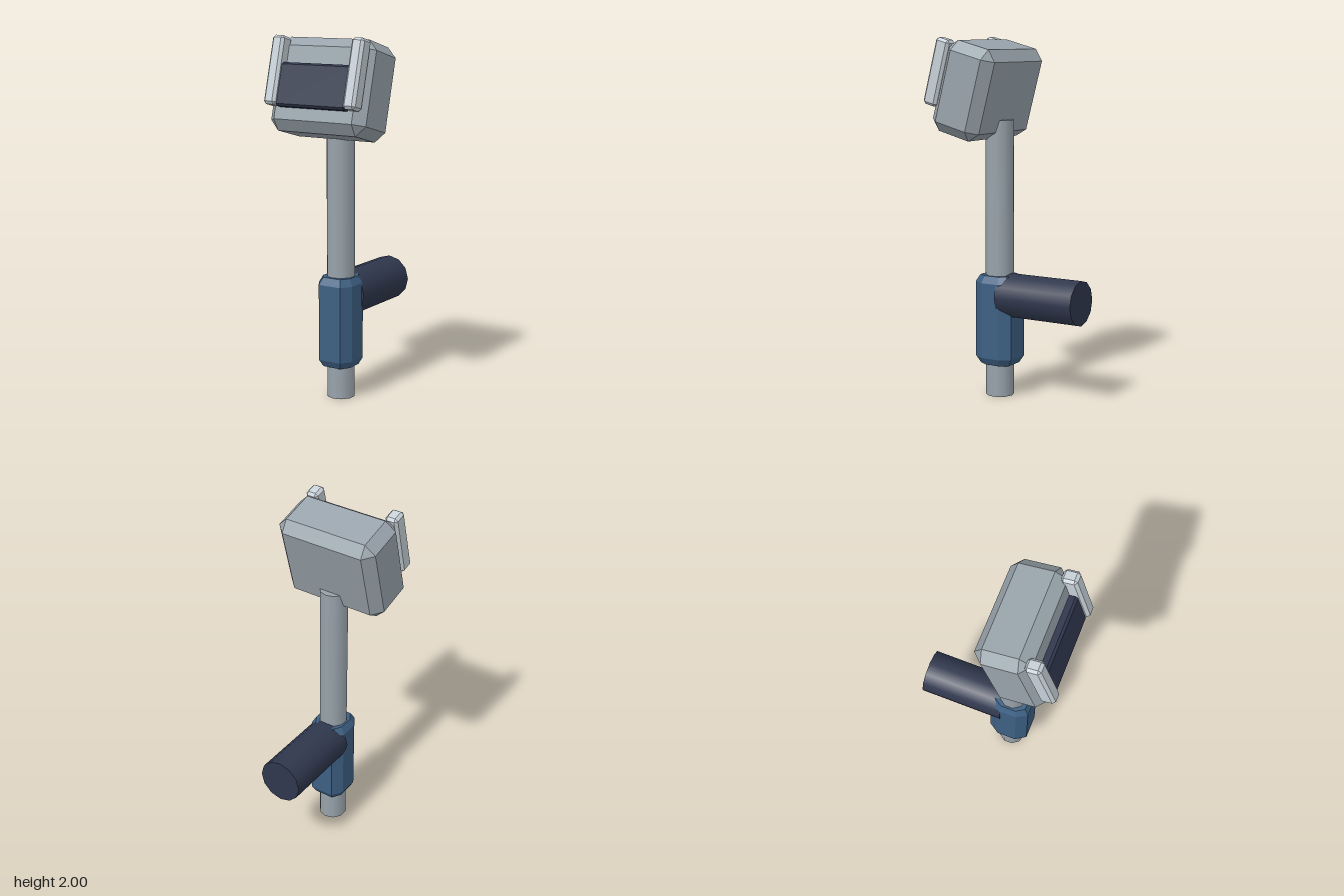
import * as THREE from 'three';
import { ConvexGeometry } from 'three/addons/geometries/ConvexGeometry.js';

const mat = (name, color) => {
  const m = new THREE.MeshStandardMaterial({ color });
  m.name = name;
  return m;
};

// Box with every edge cut by a flat chamfer c
function chamferBox(w, h, d, c) {
  const [x, y, z] = [w / 2, h / 2, d / 2];
  const pts = [];
  for (const sx of [-1, 1]) for (const sy of [-1, 1]) for (const sz of [-1, 1]) {
    pts.push(new THREE.Vector3(sx * x, sy * (y - c), sz * (z - c)));
    pts.push(new THREE.Vector3(sx * (x - c), sy * y, sz * (z - c)));
    pts.push(new THREE.Vector3(sx * (x - c), sy * (y - c), sz * z));
  }
  return new ConvexGeometry(pts);
}

// Eight-sided sleeve with tapered ends
function sleeveGeometry(height, bevel) {
  const pts = [];
  const section = [[0.108, 0.055], [0.069, 0.116]];
  const rings = [[0, 0.8], [bevel, 1], [height - bevel, 1], [height, 0.8]];
  for (const [y, s] of rings)
    for (const [x, z] of section)
      for (const sx of [-1, 1]) for (const sz of [-1, 1])
        pts.push(new THREE.Vector3(sx * x * s, y, sz * z * s));
  return new ConvexGeometry(pts);
}

export function createModel() {
  const grey = mat('grey metal', 0x98a3ab);
  const light = mat('light trim', 0xc6d0d7);
  const blue = mat('blue grip', 0x3d5f82);
  const navy = mat('dark navy', 0x2f374d);

  const model = new THREE.Group();
  model.name = 'model';
  const add = (parent, name, geometry, material, x, y, z) => {
    const mesh = new THREE.Mesh(geometry, material);
    mesh.name = name;
    mesh.position.set(x, y, z);
    parent.add(mesh);
    return mesh;
  };

  // Upright pole and the sleeve around it
  add(model, 'pole', new THREE.CylinderGeometry(0.079, 0.079, 1.55, 10), grey, 0, 0.775, 0.1);
  add(model, 'sleeve', sleeveGeometry(0.505, 0.04), blue, 0, 0.182, 0.1);

  // Handle pointing backwards
  const handle = add(model, 'handle', new THREE.CylinderGeometry(0.125, 0.125, 0.48, 12), navy, 0, 0.575, -0.18);
  handle.rotation.x = Math.PI / 2;

  // Head tilted back, with its front panel and side rails
  const head = new THREE.Group();
  head.name = 'head';
  head.position.set(0, 1.714, 0.175);
  head.rotation.x = -Math.PI / 12;
  model.add(head);
  add(head, 'headBody', chamferBox(0.596, 0.507, 0.308, 0.055), grey, 0, 0, 0);
  add(head, 'frontPanel', chamferBox(0.44, 0.234, 0.072, 0.012), navy, 0, -0.017, 0.163);
  for (const side of [-1, 1])
    add(head, side > 0 ? 'leftRail' : 'rightRail', chamferBox(0.075, 0.37, 0.088, 0.015), light, side * 0.2475, 0.055, 0.175);

  return model;
}
